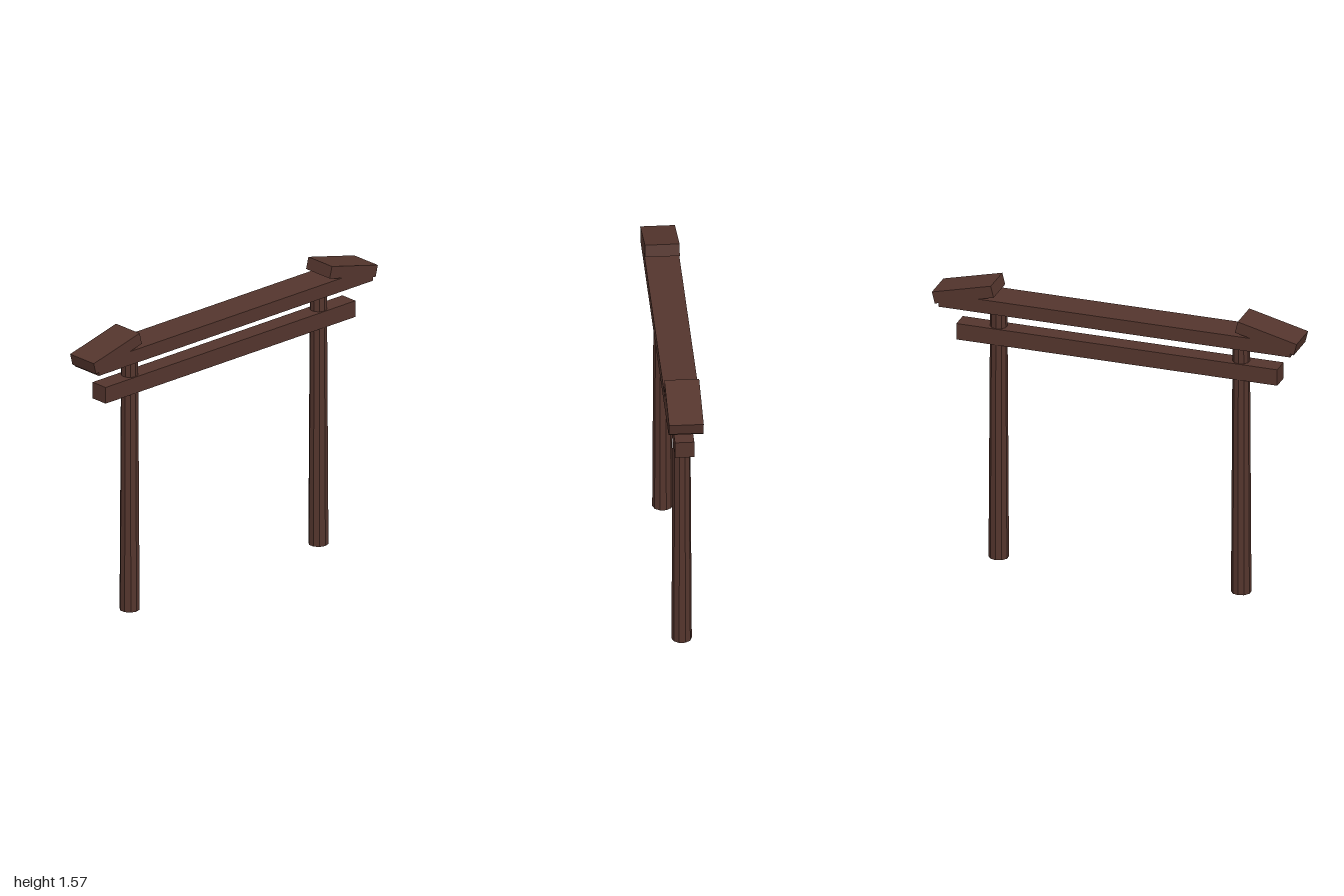
import * as THREE from 'three';

export function createModel() {
  const group = new THREE.Group();
  const wood = new THREE.MeshStandardMaterial({ color: 0x54352d, flatShading: true });
  wood.name = 'darkBrownWood';

  const add = (name, geometry, x, y) => {
    const mesh = new THREE.Mesh(geometry, wood);
    mesh.name = name;
    mesh.position.set(x, y, 0);
    group.add(mesh);
    return mesh;
  };

  // Horizontal beams
  add('tieBeam', new THREE.BoxGeometry(1.76, 0.09, 0.1), 0, 1.265);
  add('topBeam', new THREE.BoxGeometry(1.93, 0.075, 0.18), 0, 1.4475);

  // Tapered posts and sloping end caps, mirrored left and right
  for (const [side, s] of [['left', 1], ['right', -1]]) {
    add(side + 'Post', new THREE.CylinderGeometry(0.045, 0.053, 1.42, 10), s * 0.665, 0.71);
    const cap = add(side + 'RoofCap', new THREE.BoxGeometry(0.333, 0.065, 0.18), s * 0.831, 1.497);
    cap.rotation.z = -s * 0.245;
  }
  return group;
}
